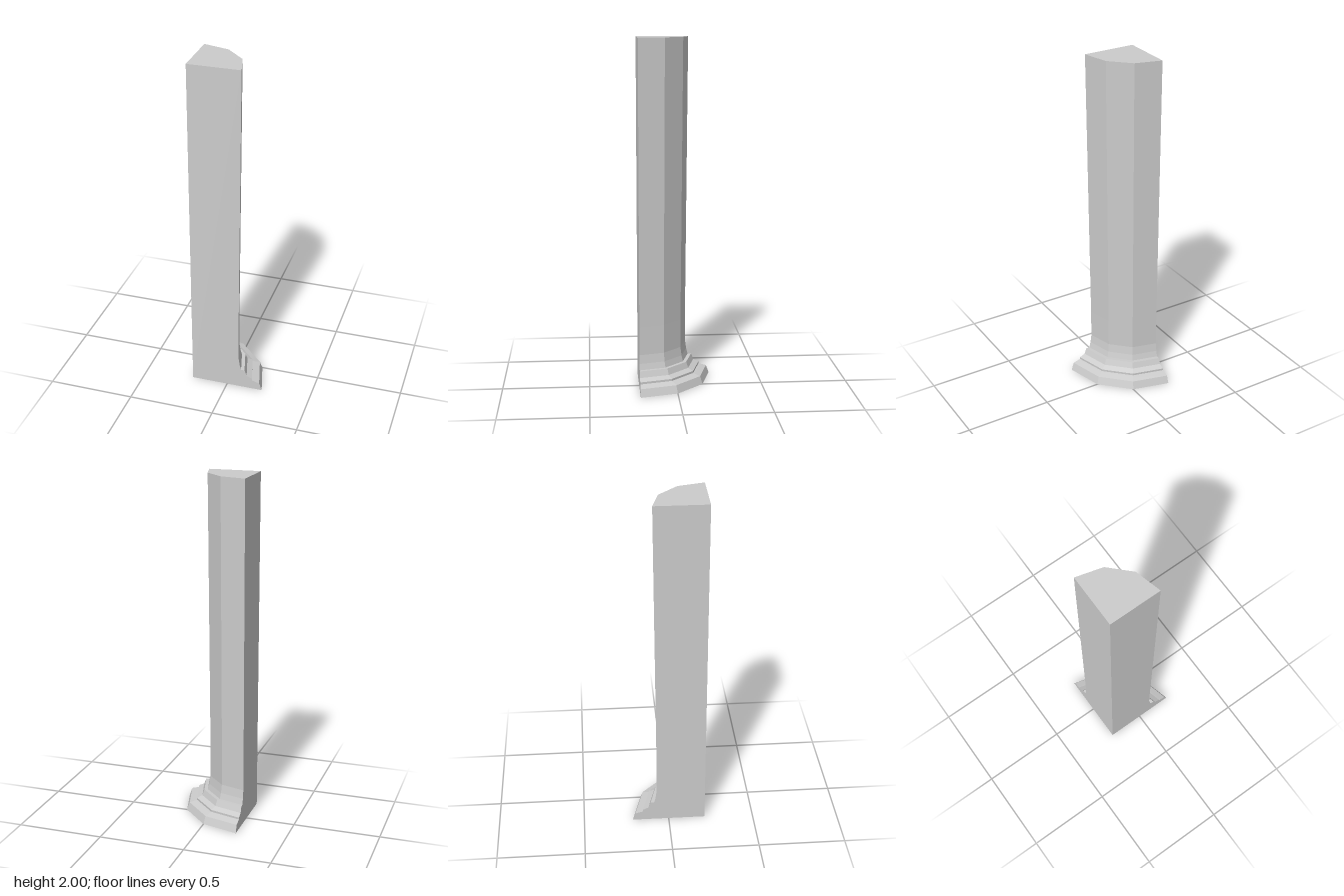
import * as THREE from 'three';

// Half-profile of the column: [radius, height], bottom to top
const PROFILE = [
  [0.427, 0], [0.411, 0.045], [0.377, 0.055], [0.366, 0.058], [0.366, 0.07],
  [0.334, 0.085], [0.321, 0.12], [0.300, 0.12], [0.291, 0.155], [0.284, 0.205],
  [0.284, 0.37], [0.300, 2],
];
const AXIS = 0.2135; // the column axis lies in the front left corner of the bounds

export function createModel() {
  const group = new THREE.Group();
  group.name = 'quarterColumn';
  const material = new THREE.MeshStandardMaterial({ color: 0xcccccc, flatShading: true });

  const add = (name, geometry) => {
    const mesh = new THREE.Mesh(geometry, material);
    mesh.name = name;
    mesh.position.set(-AXIS, 0, AXIS);
    group.add(mesh);
  };

  // Three facets of a twelve-sided column, closed to the axis at both ends
  const closed = [[0, 0], ...PROFILE, [0, 2]];
  const points = closed.map(([r, y]) => new THREE.Vector2(r, y));
  add('facetedShaftAndBase', new THREE.LatheGeometry(points, 3, Math.PI / 2, Math.PI / 2));

  // Flat cut faces that meet at the axis
  const cutFace = (side) => new THREE.ShapeGeometry(
    new THREE.Shape(closed.map(([r, y]) => new THREE.Vector2(side * r, y))));
  add('frontCutFace', cutFace(1));
  add('sideCutFace', cutFace(-1).rotateY(-Math.PI / 2));

  return group;
}
